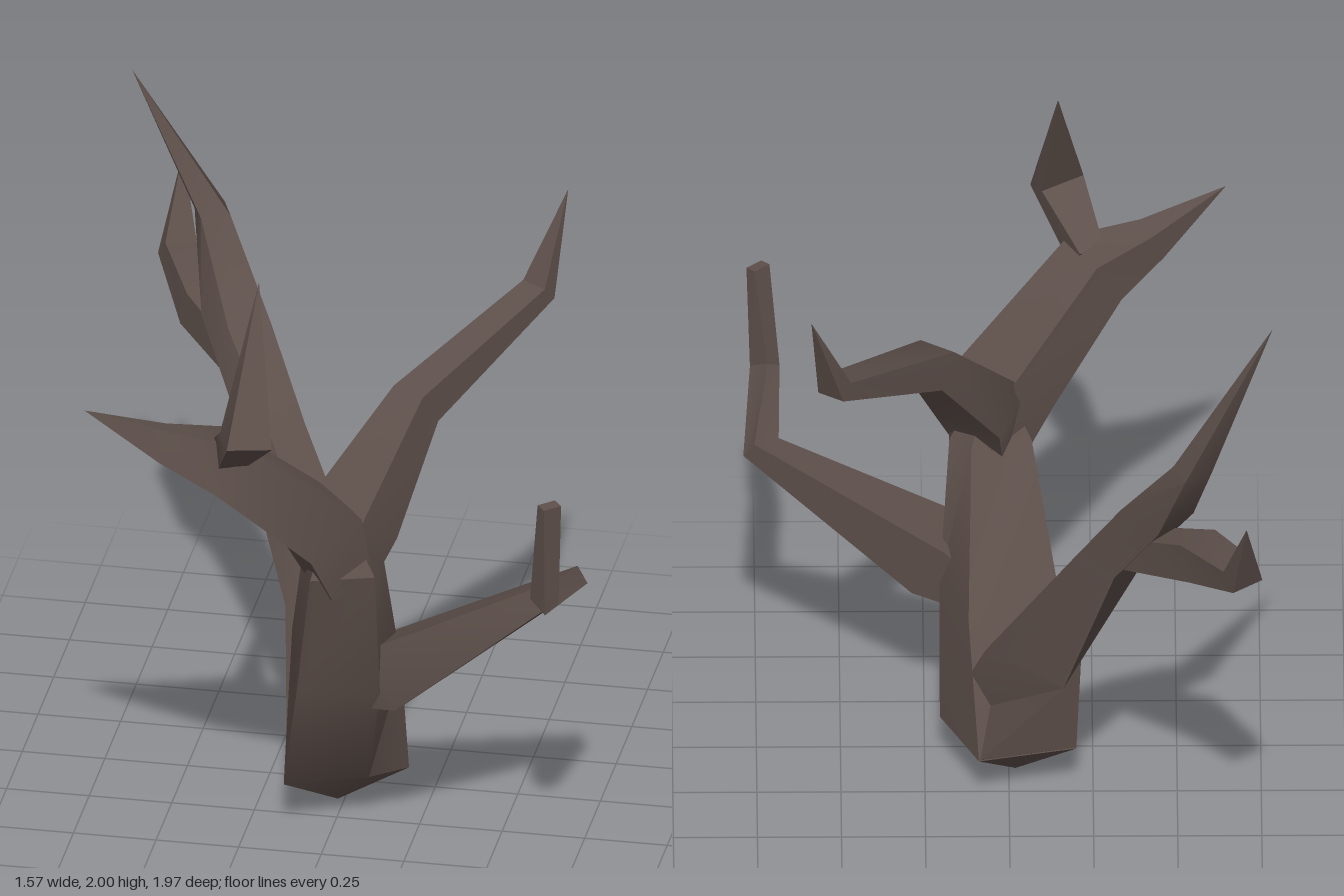
import * as THREE from 'three';
import { toCreasedNormals } from 'three/addons/utils/BufferGeometryUtils.js';

const bark = new THREE.MeshStandardMaterial({ color: 0x5e504b });
bark.name = 'dark bark';

// Skins a list of rings (equal numbers of Vector3 corners) and closes both ends.
// A ring whose corners coincide makes a point.
function skin(name, rings) {
  const sides = rings[0].length, last = rings.length - 1;
  const isPoint = ring => ring[0].distanceTo(ring[2]) < 1e-6;
  const positions = [], index = [];
  rings.forEach(ring => ring.forEach(p => positions.push(p.x, p.y, p.z)));
  for (let k = 0; k < last; k++) {
    for (let i = 0; i < sides; i++) {
      const a = k * sides + i, b = k * sides + (i + 1) % sides;
      if (!isPoint(rings[k])) index.push(a, b, b + sides);
      if (!isPoint(rings[k + 1])) index.push(a, b + sides, a + sides);
    }
  }
  for (let i = 1; i < sides - 1; i++) {
    const o = last * sides;
    if (!isPoint(rings[0])) index.push(0, i + 1, i);
    if (!isPoint(rings[last])) index.push(o, o + i, o + i + 1);
  }
  const geometry = new THREE.BufferGeometry();
  geometry.setAttribute('position', new THREE.Float32BufferAttribute(positions, 3));
  geometry.setIndex(index);
  const mesh = new THREE.Mesh(toCreasedNormals(geometry, 0.6), bark);
  mesh.name = name;
  return mesh;
}

// Stem of level sections: height, then [x, z] corners; a single corner makes a point
function stem(name, sides, sections) {
  return skin(name, sections.map(([y, ...corners]) =>
    Array.from({ length: sides }, (_, i) => {
      const [x, z] = corners[i % corners.length];
      return new THREE.Vector3(x, y, z);
    })));
}

// Four-sided branch along nodes [x, y, z, halfWidth, halfDepth]
function branch(name, nodes) {
  const up = new THREE.Vector3(0, 1, 0);
  const centres = nodes.map(n => new THREE.Vector3(n[0], n[1], n[2]));
  let across = null;
  return skin(name, nodes.map(([, , , w, d], k) => {
    const t = new THREE.Vector3();
    if (k > 0) t.add(centres[k].clone().sub(centres[k - 1]).normalize());
    if (k < nodes.length - 1) t.add(centres[k + 1].clone().sub(centres[k]).normalize());
    t.normalize();
    if (!across) across = t.clone().cross(up).normalize();
    across.addScaledVector(t, -across.dot(t)).normalize();
    const depth = t.clone().cross(across);
    return [[1, 1], [-1, 1], [-1, -1], [1, -1]].map(([u, v]) =>
      centres[k].clone().addScaledVector(across, u * w).addScaledVector(depth, v * d));
  }));
}

export function createModel() {
  const tree = new THREE.Group();
  tree.name = 'bareTree';
  tree.add(
    // Trunk, leaning forward from a pointed foot
    stem('trunk', 5, [
      [0, [-0.02, 0.13]],
      [0.15, [0.205, 0.18], [0.09, -0.07], [-0.2, 0.0], [-0.14, 0.36], [0.1, 0.265]],
      [0.55, [0.205, 0.3], [0.12, 0.08], [-0.16, 0.12], [-0.07, 0.52], [0.175, 0.49]],
      [0.97, [0.175, 0.43], [0.11, 0.37], [-0.07, 0.42], [-0.01, 0.625], [0.175, 0.565]],
      [1.19, [0.04, 0.49]],
    ]),

    // Second stem, leaning back to the right
    stem('backStem', 4, [
      [0.01, [-0.02, 0.13]],
      [0.155, [0.2, 0.17], [0.085, -0.07], [-0.2, 0.0], [-0.05, 0.25]],
      [0.53, [0.07, -0.05], [-0.16, -0.265], [-0.215, -0.06], [-0.06, -0.03]],
      [1.02, [-0.2, -0.295], [-0.31, -0.425], [-0.41, -0.3], [-0.3, -0.235]],
      [1.27, [-0.33, -0.44], [-0.44, -0.58], [-0.545, -0.46], [-0.45, -0.385]],
      [1.53, [-0.485, -0.61], [-0.52, -0.7], [-0.6, -0.64], [-0.57, -0.58]],
      [2.0, [-0.78, -0.59]],
    ]),
    branch('backSpur', [
      [-0.36, 1.11, -0.4, 0.05, 0.05],
      [-0.57, 1.22, -0.62, 0.065, 0.06],
      [-0.69, 1.29, -0.84, 0.05, 0.035],
      [-0.7, 1.54, -0.98, 0, 0],
    ]),

    // Front branch on the right, ending in two spikes
    branch('frontBranch', [
      [0.055, 0.92, 0.49, 0.09, 0.07],
      [0.0, 1.11, 0.53, 0.12, 0.1],
      [-0.26, 1.39, 0.715, 0.09, 0.085],
      [-0.43, 1.46, 0.765, 0.045, 0.05],
      [-0.65, 1.59, 0.85, 0, 0],
    ]),
    branch('frontSpike', [
      [-0.24, 1.42, 0.72, 0.04, 0.05],
      [-0.148, 1.57, 0.92, 0.07, 0.042],
      [-0.15, 1.99, 0.7, 0, 0],
    ]),

    // Upper branch on the left, sweeping back
    branch('upperBranch', [
      [0.05, 0.92, 0.49, 0.08, 0.06],
      [0.08, 1.09, 0.445, 0.115, 0.09],
      [0.23, 1.375, 0.2, 0.06, 0.06],
      [0.52, 1.57, -0.23, 0.045, 0.03],
      [0.59, 1.86, -0.33, 0, 0],
    ]),

    // Low branch on the left, bent forward and then upward
    branch('lowBranch', [
      [0.06, 0.5, 0.33, 0.06, 0.06],
      [0.21, 0.585, 0.4, 0.1, 0.1],
      [0.735, 0.94, 0.435, 0.055, 0.03],
      [0.722, 1.03, 0.745, 0.026, 0.036],
      [0.742, 1.365, 0.77, 0.03, 0.018],
    ]),
  );
  return tree;
}
